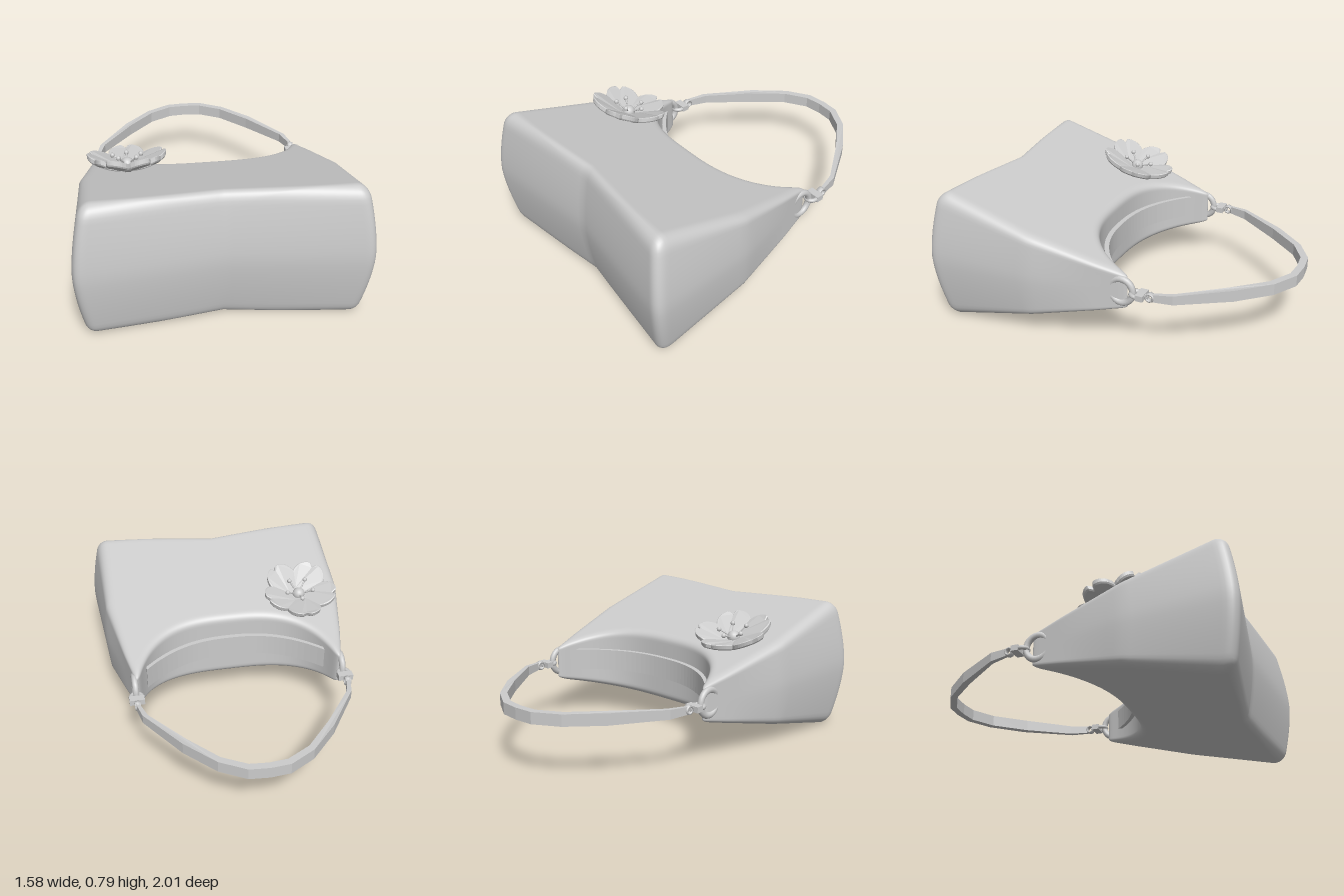
import * as THREE from 'three';
import { mergeVertices } from 'three/addons/utils/BufferGeometryUtils.js';

const grey = new THREE.MeshStandardMaterial({ color: 0xcccccc, side: THREE.DoubleSide });
const AXIS_Y = 0.378; // height of the strap and fittings

function add(parent, name, geometry, x = 0, y = 0, z = 0) {
  const mesh = new THREE.Mesh(geometry, grey);
  mesh.name = name;
  mesh.position.set(x, y, z);
  parent.add(mesh);
  return mesh;
}

// Moves every vertex of a geometry by a rule
function reshape(geometry, rule) {
  const pos = geometry.attributes.position;
  const p = new THREE.Vector3();
  for (let i = 0; i < pos.count; i++) {
    rule(p.fromBufferAttribute(pos, i));
    pos.setXYZ(i, p.x, p.y, p.z);
  }
  geometry.computeVertexNormals();
  return geometry;
}

const { lerp, clamp } = THREE.MathUtils;
const mouthZ = (a) => 0.17 - 0.4 * Math.abs(a) ** 3;
const topY = (z) => 0.795 - 0.295 * Math.max(0, 0.89 - z);
const bottomY = (z) => 0.005 + 0.24 * Math.max(0, 0.89 - z);
const halfWidth = (z) => (z < 0.37 ? lerp(0.62, 0.75, (z + 0.17) / 0.54) : lerp(0.75, 0.785, (z - 0.37) / 0.53));

// Bag body: a rounded box bent to a wedge with a scooped mouth and a pointed base
function bodyGeometry() {
  const half = new THREE.Vector3(0.75, 0.35, 0.55);
  const radius = 0.06;
  const inner = half.clone().subScalar(radius);
  const low = inner.clone().negate();
  const box = new THREE.BoxGeometry(1.5, 0.7, 1.1, 64, 28, 40);
  box.deleteAttribute('uv');
  box.deleteAttribute('normal');
  const core = new THREE.Vector3();
  return reshape(mergeVertices(box), (p) => {
    for (const k of ['x', 'y', 'z']) p[k] = half[k] * Math.sin((p[k] / half[k]) * Math.PI / 2);
    core.copy(p).clamp(low, inner);
    p.sub(core).setLength(radius).add(core).divide(half);
    const a = p.x, b = p.y;
    const base = 0.92 + 0.095 * Math.abs(a) - 0.06 * Math.abs(b) ** 1.6;
    const z = lerp(mouthZ(a), base, (p.z + 1) / 2);
    const bulge = 0.055 * clamp(z / 0.9, 0, 1) * Math.abs(b) ** 1.6;
    p.set(a * (halfWidth(z) - bulge), lerp(bottomY(z), topY(z), (b + 1) / 2), z);
  });
}

// Flat outline in x and z, given depth along y and centred on the strap height
function slab(points, depth) {
  const shape = new THREE.Shape(points.map(([x, z]) => new THREE.Vector2(x, z)));
  return new THREE.ExtrudeGeometry(shape, { depth, bevelEnabled: false })
    .rotateX(Math.PI / 2).translate(0, depth / 2, 0);
}

// Closing band that follows the mouth
function mouthBand() {
  const outer = [], inner = [];
  for (let i = 0; i <= 32; i++) {
    const x = lerp(-0.54, 0.54, i / 32);
    const z = 0.14 - 0.235 * Math.abs(x / 0.54) ** 2.4;
    outer.push([x, z]);
    inner.unshift([x, z + 0.03]);
  }
  return slab([...outer, ...inner], 0.13);
}

// Shoulder strap, thinner and narrower towards its ends
function strapGeometry() {
  const outer = [[0.63, -0.34], [0.605, -0.45], [0.42, -0.73], [0.26, -0.905], [0.115, -0.99], [0, -1]];
  const inner = [[0.61, -0.34], [0.575, -0.45], [0.395, -0.695], [0.24, -0.87], [0.105, -0.948], [0, -0.958]];
  const mirror = (pts) => pts.slice(0, -1).reverse().map(([x, z]) => [-x, z]);
  const outside = [...outer, ...mirror(outer)];
  const inside = [...inner, ...mirror(inner)];
  return reshape(slab([...outside, ...inside.reverse()], 0.068), (p) => {
    p.y *= lerp(0.65, 1, clamp((-0.34 - p.z) / 0.25, 0, 1));
  });
}

// Ring, swivel clasp and strap eye at one end
function fitting(side) {
  const g = new THREE.Group();
  g.name = side > 0 ? 'leftFitting' : 'rightFitting';
  g.position.set(side * 0.62, AXIS_Y, 0);
  const ring = add(g, 'bagRing', new THREE.TorusGeometry(0.07, 0.019, 10, 24), 0, 0, -0.152);
  ring.rotation.y = Math.PI / 2;
  ring.scale.y = 1.05;
  const loop = add(g, 'claspLoop', new THREE.TorusGeometry(0.033, 0.013, 8, 20), 0, 0, -0.245);
  loop.rotation.x = Math.PI / 2;
  add(g, 'claspBlock', new THREE.BoxGeometry(0.088, 0.034, 0.045), 0, 0, -0.275);
  const pin = add(g, 'swivelPin', new THREE.CylinderGeometry(0.015, 0.015, 0.04, 12), 0, 0, -0.295);
  pin.rotation.x = Math.PI / 2;
  const eye = add(g, 'strapEye', new THREE.TorusGeometry(0.022, 0.008, 6, 8), 0, 0, -0.325);
  eye.rotation.y = Math.PI / 2;
  eye.scale.z = 2.4;
  return g;
}

// Five cupped, notched petals around a button with stamens
function flower() {
  const g = new THREE.Group();
  g.name = 'flower';
  const s = new THREE.Shape();
  s.moveTo(-0.02, 0.02);
  s.bezierCurveTo(-0.07, 0.06, -0.12, 0.12, -0.085, 0.18);
  s.bezierCurveTo(-0.07, 0.205, -0.04, 0.22, -0.022, 0.218);
  s.lineTo(0, 0.197);
  s.lineTo(0.022, 0.218);
  s.bezierCurveTo(0.04, 0.22, 0.07, 0.205, 0.085, 0.18);
  s.bezierCurveTo(0.12, 0.12, 0.07, 0.06, 0.02, 0.02);
  const petal = reshape(
    new THREE.ExtrudeGeometry(s, {
      depth: 0.022, curveSegments: 8, bevelEnabled: true,
      bevelThickness: 0.006, bevelSize: 0.006, bevelSegments: 1,
    }).rotateX(-Math.PI / 2),
    (p) => { p.y += 1.5 * (p.x * p.x + p.z * p.z); },
  );
  const filament = new THREE.CylinderGeometry(0.005, 0.005, 0.1, 6).translate(0, 0.05, 0);
  const anther = new THREE.SphereGeometry(0.014, 10, 8);
  for (let i = 0; i < 5; i++) {
    const turn = (i * Math.PI * 2) / 5;
    add(g, 'petal', petal).rotation.y = turn;
    const stamen = new THREE.Group();
    stamen.name = 'stamen';
    add(stamen, 'filament', filament);
    add(stamen, 'anther', anther, 0, 0.1, 0);
    stamen.position.y = 0.03;
    stamen.rotation.set(-1.0, turn, 0, 'YXZ');
    g.add(stamen);
  }
  add(g, 'flowerCentre', new THREE.SphereGeometry(0.038, 16, 12), 0, 0.035, 0);
  g.position.set(-0.46, 0.613, 0.27);
  g.rotation.x = -0.287;
  return g;
}

export function createModel() {
  const model = new THREE.Group();
  model.name = 'handbag';
  add(model, 'bagBody', bodyGeometry());
  add(model, 'mouthBand', mouthBand(), 0, AXIS_Y + 0.01, 0);
  add(model, 'strap', strapGeometry(), 0, AXIS_Y, 0);
  model.add(fitting(1), fitting(-1), flower());
  return model;
}
